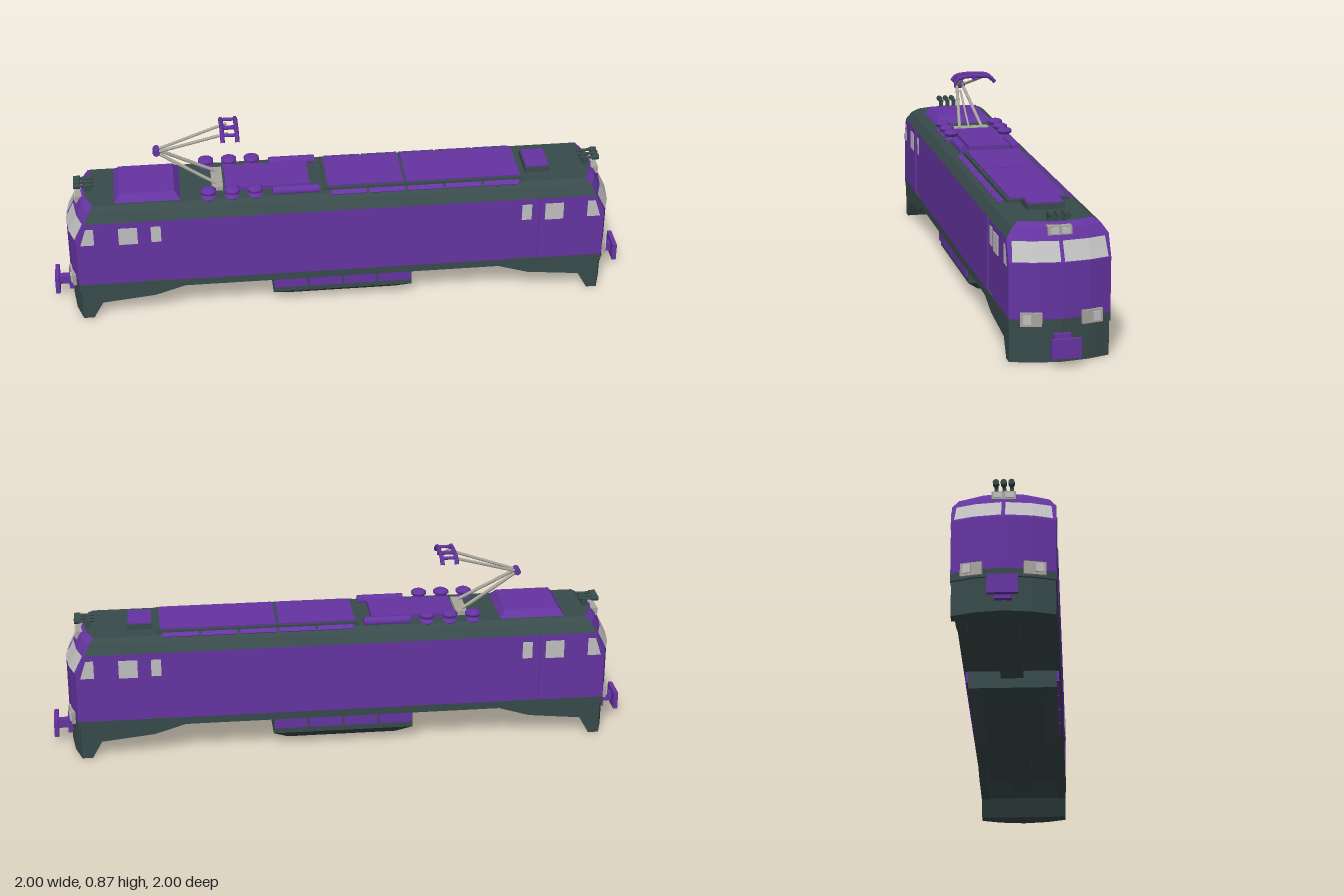
import * as THREE from 'three';

const mat = (name, color, side = THREE.FrontSide) => {
  const m = new THREE.MeshStandardMaterial({ color, side });
  m.name = name;
  return m;
};

export function createModel() {
  const purple = mat('purple paint', 0x6534a2);
  const dark = mat('dark green grey', 0x384a4a);
  const glass = mat('pale glass', 0xc0c0c0, THREE.DoubleSide);
  const metal = mat('arm metal', 0xa8a69c);
  const model = new THREE.Group();
  model.name = 'locomotive';
  // Everything is built along local x, then turned onto the diagonal
  const loco = new THREE.Group();
  loco.name = 'locomotiveBody';
  loco.rotation.y = Math.PI / 4;
  model.add(loco);

  const add = (name, geo, m, x = 0, y = 0, z = 0) => {
    const mesh = new THREE.Mesh(geo, m);
    mesh.name = name;
    mesh.position.set(x, y, z);
    loco.add(mesh);
    return mesh;
  };
  const box = (name, m, x0, x1, y0, y1, z0, z1) => add(name, new THREE.BoxGeometry(x1 - x0, y1 - y0, z1 - z0),
    m, (x0 + x1) / 2, (y0 + y1) / 2, (z0 + z1) / 2);
  const rod = (name, m, a, b, r, sides = 8) => {
    const A = new THREE.Vector3(...a), B = new THREE.Vector3(...b);
    const mesh = add(name, new THREE.CylinderGeometry(r, r, A.distanceTo(B), sides), m);
    mesh.position.copy(A).lerp(B, 0.5);
    mesh.quaternion.setFromUnitVectors(new THREE.Vector3(0, 1, 0), B.sub(A).normalize());
    return mesh;
  };
  // Box whose top is drawn in
  const taperBox = (name, m, x0, x1, y0, y1, w, inX, inZ) => {
    const mesh = box(name, m, x0, x1, y0, y1, -w, w);
    const p = mesh.geometry.attributes.position;
    for (let i = 0; i < p.count; i++) if (p.getY(i) > 0) {
      p.setX(i, p.getX(i) - Math.sign(p.getX(i)) * inX);
      p.setZ(i, p.getZ(i) - Math.sign(p.getZ(i)) * inZ);
    }
    mesh.geometry.computeVertexNormals();
    return mesh;
  };

  // Plan outline at one height: bowed ends, straight sides with door recesses
  const W = 0.213;
  const noseX = (z, inset) => {
    const a = Math.abs(z);
    return (a < 0.12 ? 1.245 - a * 0.125 : 1.23 - (a - 0.12) * 0.32) - inset;
  };
  const ring = ([y, inset, w, d]) => {
    const half = [-1, -0.56, 0, 0.56, 1].map((k) => [noseX(k * W, inset), k * w]);
    for (const [a, b] of [[0.9, 0.79], [-0.79, -0.9]])
      half.push([a, w], [a, w - d], [b, w - d], [b, w]);
    return [...half, ...half.map(([x, z]) => [-x, -z])].map(([x, z]) => [x, y, z]);
  };
  const loft = (name, levels, mats, isEndPainted) => {
    const rings = levels.map(ring), n = rings[0].length, sides = [], ends = [];
    for (let l = 0; l < rings.length - 1; l++) for (let i = 0; i < n; i++) {
      const a = rings[l][i], b = rings[l][(i + 1) % n], c = rings[l + 1][(i + 1) % n], d = rings[l + 1][i];
      (isEndPainted && i % 13 < 4 ? ends : sides).push(a, d, c, a, c, b);
    }
    const top = rings[rings.length - 1], bottom = rings[0];
    for (let i = 0; i < n; i++) {
      const j = (i + 1) % n;
      sides.push([0, top[0][1], 0], top[j], top[i], [0, bottom[0][1], 0], bottom[i], bottom[j]);
    }
    const geo = new THREE.BufferGeometry();
    geo.setAttribute('position', new THREE.Float32BufferAttribute([...sides, ...ends].flat(), 3));
    geo.addGroup(0, sides.length, 0);
    geo.addGroup(sides.length, ends.length, 1);
    geo.computeVertexNormals();
    return add(name, geo, mats);
  };
  loft('underframe', [[0.15, 0, W, 0], [0.185, 0, W, 0]], [dark, dark]);
  loft('bodyShell', [[0.185, 0, W, 0.008], [0.42, 0, W, 0.008], [0.51, 0.043, W, 0.008]], [purple, purple]);
  loft('roof', [[0.51, 0.043, W, 0], [0.55, 0.062, 0.185, 0], [0.57, 0.085, 0.155, 0]], [dark, purple], true);

  // Flat pane from corner points, drawn on both sides
  const pane = (name, rows) => {
    const p = [];
    for (let i = 0; i < rows.length - 1; i++) {
      const [a, b] = rows[i], [c, d] = rows[i + 1];
      p.push(a, b, d, a, d, c);
    }
    const geo = new THREE.BufferGeometry();
    geo.setAttribute('position', new THREE.Float32BufferAttribute(p.flat(), 3));
    geo.computeVertexNormals();
    add(name, geo, glass);
  };

  for (const e of [-1, 1]) {
    const span = (a, b) => [Math.min(e * a, e * b), Math.max(e * a, e * b)];
    for (const s of [-1, 1]) {
      // Windscreen halves follow the bowed, sloping nose
      pane('windscreen', [0.008, 0.12, 0.2].map((z) => [
        [e * (noseX(z, 0.001) + 0.004), 0.425, s * z],
        [e * (noseX(z, 0.04) + 0.004), 0.503, s * z * 0.97]]));
      // Side windows
      const zs = s * (W + 0.003);
      pane('cabQuarterWindow', [[[e * 1.12, 0.4, zs], [e * 1.12, 0.485, zs]], [[e * 1.182, 0.4, zs], [e * 1.155, 0.485, zs]]]);
      box('cabSideWindow', glass, ...span(0.925, 1.01), 0.395, 0.48, s * W - 0.003, s * W + 0.003);
      box('doorWindow', glass, ...span(0.82, 0.865), 0.395, 0.475, s * (W - 0.008) - 0.003, s * (W - 0.008) + 0.003);
      // Lower lamps
      const lamp = box('lampHousing', metal, ...span(1.2, 1.238), 0.158, 0.215, s * 0.125 - 0.045, s * 0.125 + 0.045);
      lamp.rotation.y = -e * s * 0.2;
      for (const k of [-0.021, 0.021])
        box('lowerLamp', glass, ...span(1.232, 1.24), 0.168, 0.206, s * 0.125 + k - 0.016, s * 0.125 + k + 0.016).rotation.y = -e * s * 0.2;
      // Upper headlight
      box('headlight', glass, ...span(1.195, 1.2), 0.53, 0.555, s * 0.024 - 0.018, s * 0.024 + 0.018);
    }
    box('headlightHousing', metal, ...span(1.13, 1.196), 0.524, 0.56, -0.05, 0.05);

    // Roof horns
    for (const z of [-0.032, 0, 0.032]) {
      rod('horn', dark, [e * 1.11, 0.603, z], [e * 1.18, 0.603, z], 0.007);
      const bell = rod('hornBell', dark, [e * 1.17, 0.603, z], [e * 1.2, 0.603, z], 0.013);
      bell.scale.y = 1;
      box('hornFoot', dark, ...span(1.125, 1.15), 0.565, 0.603, z - 0.008, z + 0.008);
    }

    // End apron: bowed plate with a sloping back
    const plan = new THREE.Shape([-1, -0.56, 0, 0.56, 1].map((k) => new THREE.Vector2(e * noseX(k * W, 0.008), k * (W - 0.003)))
      .concat([new THREE.Vector2(e * 1.15, W - 0.003), new THREE.Vector2(e * 1.15, 0.003 - W)]));
    const plate = new THREE.ExtrudeGeometry(plan, { depth: 0.155, bevelEnabled: false });
    plate.rotateX(Math.PI / 2);
    add('endApron', plate, dark, 0, 0.155, 0);
    const profile = (pts, depth, name, z) => add(name, new THREE.ExtrudeGeometry(
      new THREE.Shape(pts.map(([x, y]) => new THREE.Vector2(e * x, y))), { depth, bevelEnabled: false }), dark, 0, 0, z);
    profile([[1.16, 0], [1.145, 0], [1.1, 0.085], [1.03, 0.155], [1.16, 0.155]], 0.4, 'apronBack', -0.2);
    // Side skirts
    for (const z of [-0.21, 0.17])
      profile([[1.16, 0], [1.145, 0], [1.1, 0.08], [0.86, 0.105], [0.7, 0.155], [1.16, 0.155]], 0.04, 'sideSkirt', z);

    // Coupler
    box('couplerShaft', purple, ...span(1.2, 1.3), 0.062, 0.102, -0.016, 0.016);
    box('couplerPlate', purple, ...span(1.298, 1.318), 0.04, 0.122, -0.062, 0.062);
    box('couplerCollar', purple, ...span(1.22, 1.255), 0.045, 0.125, -0.035, 0.035);
  }

  // Equipment case below the floor
  box('centreBeam', dark, -1.1, 1.1, 0.115, 0.152, -0.05, 0.05);
  box('equipmentCase', dark, -0.32, 0.32, 0.07, 0.16, -0.195, 0.195);
  const belly = taperBox('equipmentBelly', dark, -0.32, 0.32, 0.02, 0.07, 0.195, 0.07, 0.06);
  belly.rotation.x = Math.PI;
  for (const s of [-1, 1]) for (let i = 0; i < 4; i++)
    box('equipmentPanel', purple, -0.315 + i * 0.16, -0.165 + i * 0.16, 0.1, 0.153, s * 0.2 - 0.006, s * 0.2 + 0.006);

  // Long roof panels with side vents
  box('roofPanelFrame', dark, -0.075, 0.83, 0.56, 0.582, -0.135, 0.135);
  box('roofPanelShort', purple, -0.06, 0.285, 0.57, 0.588, -0.122, 0.122);
  box('roofPanelLong', purple, 0.297, 0.818, 0.57, 0.588, -0.122, 0.122);
  for (const s of [-1, 1]) for (let i = 0; i < 5; i++) {
    const vent = box('roofVent', purple, -0.05 + i * 0.174, 0.112 + i * 0.174, 0.55, 0.574, s * 0.151 - 0.012, s * 0.151 + 0.012);
    vent.rotation.x = s * 0.5;
  }
  // Small hatch
  box('hatchBase', dark, 0.85, 0.965, 0.56, 0.594, -0.08, 0.08);
  box('hatchLid', purple, 0.855, 0.96, 0.592, 0.599, -0.075, 0.075);
  // Tapered cover over the cab and equipment deck
  taperBox('cabRoofCover', purple, -1.025, -0.72, 0.565, 0.602, 0.147, 0.03, 0.03);
  box('equipmentDeck', purple, -0.52, -0.14, 0.56, 0.59, -0.095, 0.095);
  for (const s of [-1, 1]) {
    rod('roofTank', purple, [-0.31, 0.578, s * 0.125], [-0.1, 0.578, s * 0.125], 0.022, 10);
    // Mushroom insulators
    const prof = [[0, 0], [0.024, 0], [0.034, 0.012], [0.034, 0.02], [0.014, 0.03], [0.024, 0.034], [0.036, 0.042], [0.036, 0.052], [0.024, 0.06], [0, 0.06]];
    for (const x of [-0.388, -0.492, -0.598])
      add('insulator', new THREE.LatheGeometry(prof.map((p) => new THREE.Vector2(...p)), 10), purple, x, 0.553, s * 0.13);
  }

  // Current collector: base, folded arms and bowed head
  box('collectorBase', metal, -0.58, -0.53, 0.565, 0.59, -0.085, 0.085);
  for (const s of [-1, 1]) {
    rod('lowerArm', metal, [-0.55, 0.585, s * 0.055], [-0.82, 0.745, s * 0.014], 0.008);
    rod('upperArm', metal, [-0.82, 0.745, s * 0.012], [-0.5, 0.843, s * 0.045], 0.007);
  }
  rod('elbow', purple, [-0.82, 0.745, -0.025], [-0.82, 0.745, 0.025], 0.016);
  rod('steadyRod', metal, [-0.6, 0.58, 0], [-0.8, 0.72, 0], 0.005);
  rod('headPivot', purple, [-0.53, 0.846, 0], [-0.45, 0.846, 0], 0.01);
  for (const x of [-0.525, -0.46]) {
    const curve = new THREE.CatmullRomCurve3([[-0.098, 0.825], [-0.078, 0.848], [-0.04, 0.856], [0.04, 0.856], [0.078, 0.848], [0.098, 0.825]]
      .map(([z, y]) => new THREE.Vector3(x, y, z)));
    add('collectorStrip', new THREE.TubeGeometry(curve, 16, 0.01, 6), purple);
  }
  for (const z of [-0.07, 0.07]) rod('headLink', purple, [-0.525, 0.848, z], [-0.46, 0.848, z], 0.008);
  return model;
}
